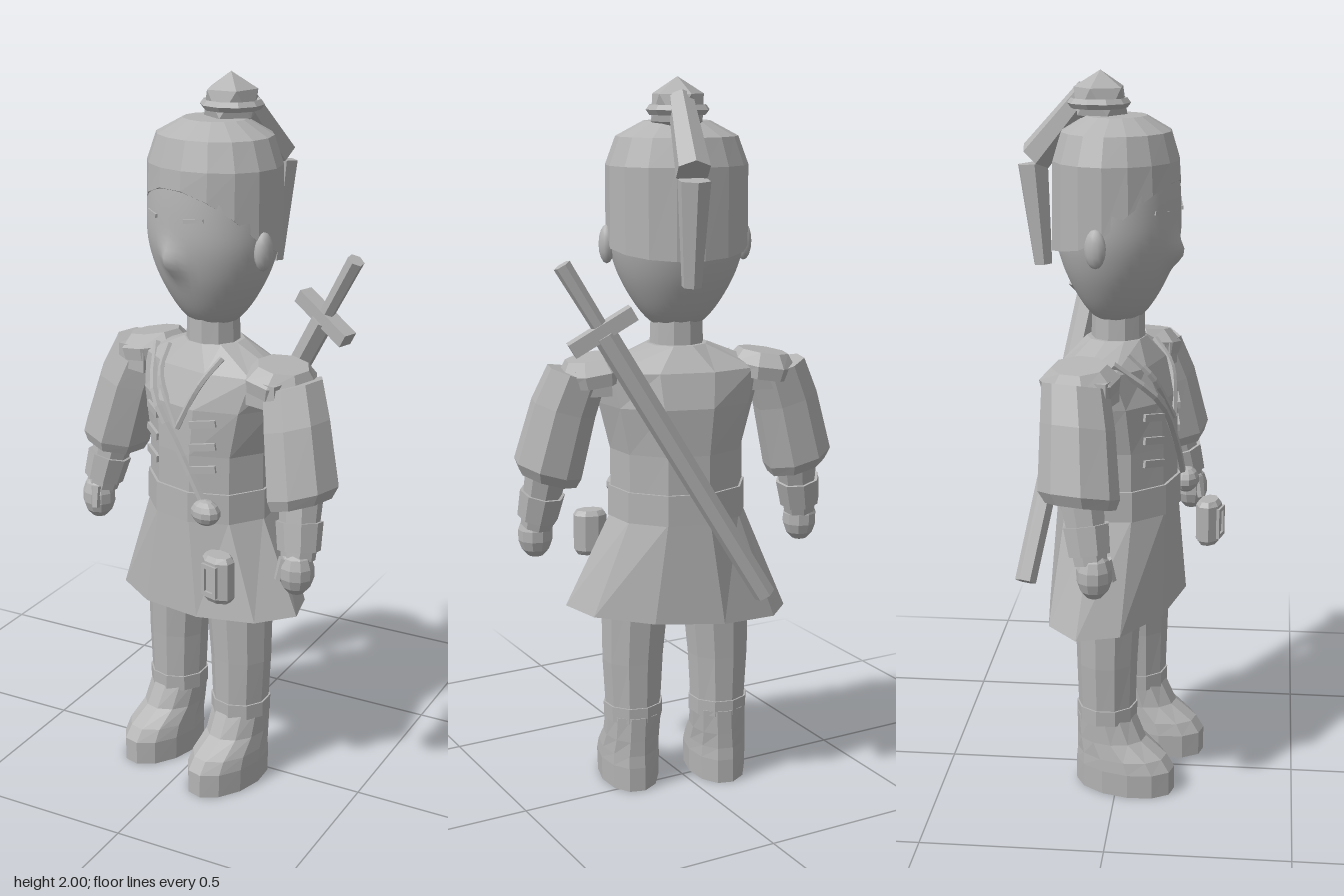
import * as THREE from 'three';

const V = (x, y, z) => new THREE.Vector3(x, y, z);

export function createModel() {
  const model = new THREE.Group();
  model.name = 'warrior';
  const grey = new THREE.MeshStandardMaterial({ color: 0xb4b4b4 });
  grey.name = 'plain grey';

  // The figure stands turned slightly to its right
  const body = new THREE.Group();
  body.name = 'body';
  body.position.set(0.025, 0, -0.01);
  body.rotation.y = -0.28;
  model.add(body);

  const flat = (geo) => {
    const g = geo.index ? geo.toNonIndexed() : geo;
    g.computeVertexNormals();
    return g;
  };
  const add = (name, geo, parent = body) => {
    const mesh = new THREE.Mesh(geo, grey);
    mesh.name = name;
    parent.add(mesh);
    return mesh;
  };

  // Closed faceted skin over elliptical rings [x, y, z, halfWidth, halfDepth], bottom to top
  const loft = (rings, segs, bend) => {
    const pts = rings.map(([x, y, z, a, d]) => Array.from({ length: segs }, (_, k) => {
      const t = ((k + 0.5) / segs) * Math.PI * 2;
      const p = V(x + a * Math.sin(t), y, z + d * Math.cos(t));
      if (bend) bend(p);
      return p;
    }));
    const tris = [];
    const centre = (ring) => ring.reduce((s, p) => s.add(p), V(0, 0, 0)).divideScalar(segs);
    const low = centre(pts[0]), high = centre(pts[pts.length - 1]);
    for (let k = 0; k < segs; k++) {
      const n = (k + 1) % segs;
      for (let i = 0; i < pts.length - 1; i++) {
        const [a, b, c, d] = [pts[i][k], pts[i][n], pts[i + 1][n], pts[i + 1][k]];
        tris.push(a, b, c, a, c, d);
      }
      tris.push(low, pts[0][n], pts[0][k]);
      tris.push(high, pts[pts.length - 1][k], pts[pts.length - 1][n]);
    }
    return flat(new THREE.BufferGeometry().setFromPoints(tris));
  };

  // Faceted bar from one point to another
  const bar = (from, to, r0, r1, segs) => {
    const dir = to.clone().sub(from);
    const g = new THREE.CylinderGeometry(r1, r0, dir.length(), segs);
    g.applyQuaternion(new THREE.Quaternion().setFromUnitVectors(V(0, 1, 0), dir.normalize()));
    g.translate((from.x + to.x) / 2, (from.y + to.y) / 2, (from.z + to.z) / 2);
    return flat(g);
  };
  const cord = (points, r) =>
    flat(new THREE.TubeGeometry(new THREE.CatmullRomCurve3(points), 10, r, 5));

  // Head: smooth egg with a nose
  const headCurve = new THREE.SplineCurve([[0.001, 1.325], [0.05, 1.335], [0.09, 1.365], [0.13, 1.42],
    [0.165, 1.49], [0.186, 1.57], [0.187, 1.66], [0.18, 1.75]].map((p) => new THREE.Vector2(...p)));
  const headGeo = new THREE.LatheGeometry(headCurve.getPoints(30), 40, Math.PI);
  headGeo.scale(1, 1, 0.89);
  const hp = headGeo.attributes.position;
  for (let i = 0; i < hp.count; i++) {
    const x = hp.getX(i), y = hp.getY(i), z = hp.getZ(i);
    if (z > 0.05) hp.setZ(i, z + 0.03 * Math.exp(-((x / 0.028) ** 2) - ((y - 1.53) / 0.04) ** 2));
  }
  headGeo.computeVertexNormals();
  add('head', headGeo);
  add('neck', loft([[0, 1.22, 0, 0.078, 0.075], [0, 1.37, 0, 0.072, 0.072]], 10));

  // Hair cap with a rim that rises to the brow
  add('hairCap', loft([
    [0, 1.6, -0.005, 0.193, 0.172], [0, 1.77, -0.005, 0.193, 0.168], [0, 1.845, -0.005, 0.165, 0.146],
    [0, 1.885, -0.005, 0.09, 0.08]], 16, (p) => {
    if (p.y < 1.7) {
      const t = p.z / 0.165;
      p.y = 1.56 + t * (t > 0 ? 0.16 : 0.03);
    }
  }));

  // Topknot and hanging tail
  const bun = new THREE.IcosahedronGeometry(0.08, 0);
  bun.rotateZ(0.5536);
  add('topknot', flat(bun)).position.set(0.01, 1.92, -0.055);
  const tie = new THREE.TorusGeometry(0.072, 0.014, 5, 10);
  tie.rotateX(Math.PI / 2);
  add('hairTie', flat(tie)).position.set(0.01, 1.915, -0.06);
  add('hairTailUpper', bar(V(0.01, 1.945, -0.09), V(0.012, 1.765, -0.245), 0.035, 0.048, 6));
  add('hairTailLower', bar(V(0.012, 1.745, -0.255), V(0.012, 1.47, -0.228), 0.045, 0.027, 6));

  for (const s of [-1, 1]) {
    const side = s > 0 ? 'left' : 'right';

    // Face details
    const ear = new THREE.SphereGeometry(1, 12, 8);
    ear.scale(0.022, 0.052, 0.03);
    add(side + 'Ear', ear).position.set(s * 0.19, 1.56, 0.01);
    const eye = add(side + 'Eye', new THREE.BoxGeometry(0.055, 0.01, 0.006));
    eye.position.set(s * 0.075, 1.645, 0.153);
    eye.rotation.set(0, s * 0.4, s * 0.1);

    // Shoulder guard, leaning outward
    const pad = add(side + 'ShoulderGuard', loft([
      [0, -0.035, 0, 0.085, 0.105], [0, 0, 0, 0.095, 0.11], [0, 0.035, 0, 0.07, 0.075]], 8));
    pad.position.set(s * 0.238, 1.225, -0.015);
    pad.rotation.z = -s * 0.15;
    const flap = add(side + 'ShoulderFlap', new THREE.BoxGeometry(0.1, 0.07, 0.16));
    flap.position.set(s * 0.245, 1.195, 0);

    // Sleeve, cuff and hand
    add(side + 'Sleeve', loft([
      [s * 0.358, 0.905, 0.035, 0.08, 0.095], [s * 0.358, 0.935, 0.03, 0.094, 0.11],
      [s * 0.315, 1.12, 0.01, 0.088, 0.1], [s * 0.28, 1.23, -0.01, 0.08, 0.09]], 8, (p) => {
      p.y += s * (p.x - s * 0.33) * 0.3;
    }));
    add(side + 'Forearm', bar(V(s * 0.385, 0.77, 0.075), V(s * 0.36, 0.93, 0.04), 0.046, 0.06, 8));
    add(side + 'Bracer', bar(V(s * 0.383, 0.795, 0.07), V(s * 0.37, 0.87, 0.055), 0.058, 0.064, 8));
    const hand = new THREE.SphereGeometry(1, 10, 7);
    hand.scale(0.05, 0.068, 0.048);
    add(side + 'Hand', flat(hand)).position.set(s * 0.388, 0.742, 0.085);
    add(side + 'Thumb', bar(V(s * 0.36, 0.72, 0.125), V(s * 0.37, 0.78, 0.11), 0.012, 0.018, 6));

    // Trouser leg, boot and boot cuff
    add(side + 'Leg', loft([
      [s * 0.125, 0.2, 0.015, 0.078, 0.08], [s * 0.125, 0.38, 0.015, 0.088, 0.085],
      [s * 0.115, 0.6, 0.015, 0.1, 0.095]], 10));
    add(side + 'BootCuff', loft([
      [s * 0.125, 0.205, 0.015, 0.085, 0.085], [s * 0.125, 0.25, 0.015, 0.086, 0.086]], 10));
    add(side + 'Boot', loft([
      [s * 0.13, 0, 0.072, 0.086, 0.146], [s * 0.13, 0.07, 0.072, 0.088, 0.146],
      [s * 0.13, 0.105, 0.062, 0.085, 0.132], [s * 0.128, 0.15, 0.03, 0.08, 0.1],
      [s * 0.125, 0.22, 0.012, 0.08, 0.084]], 12));

    // Collar edge and chest fastenings
    add(side + 'Collar', cord([V(s * 0.1, 1.265, 0.07), V(s * 0.075, 1.2, 0.128), V(0.015, 1.07, 0.158)], 0.009));
    for (const y of [0.965, 1.03, 1.095]) {
      const frog = add(side + 'Fastening', new THREE.BoxGeometry(0.075, 0.02, 0.009));
      frog.position.set(s * 0.095, y, 0.141);
      frog.rotation.set(0, s * 0.42, s * 0.15);
    }
  }

  // Tunic, belt and flared skirt
  add('tunic', loft([
    [0, 0.82, 0, 0.188, 0.165], [0, 1, 0, 0.188, 0.163], [0, 1.13, -0.005, 0.22, 0.163],
    [0, 1.225, -0.012, 0.245, 0.13], [0, 1.29, -0.005, 0.085, 0.082]], 10));
  add('belt', loft([[0, 0.81, 0, 0.196, 0.174], [0, 0.895, 0, 0.194, 0.172]], 10));
  add('skirt', loft([[0, 0.53, 0, 0.318, 0.18], [0, 0.815, 0, 0.19, 0.168]], 10, (p) => {
    if (p.y < 0.6) p.y += 0.07 * p.x;
  }));

  // Chest strap with round buckle
  add('chestStrap', cord([V(-0.17, 1.25, 0.05), V(-0.08, 1.14, 0.148), V(0.03, 1.0, 0.158), V(0.12, 0.86, 0.152)], 0.011));
  const buckle = new THREE.SphereGeometry(1, 10, 7);
  buckle.scale(0.046, 0.036, 0.035);
  add('buckle', flat(buckle)).position.set(0.125, 0.855, 0.16);

  // Hanging pouch with a raised frame
  const pouch = new THREE.Group();
  pouch.name = 'pouch';
  pouch.position.set(0.212, 0.705, 0.2);
  body.add(pouch);
  add('pouchBody', loft([
    [0, -0.066, 0, 0.04, 0.026], [0, -0.052, 0, 0.05, 0.036],
    [0, 0.052, 0, 0.05, 0.036], [0, 0.066, 0, 0.04, 0.026]], 8), pouch);
  const frame = new THREE.Shape([[-0.026, -0.045], [0.026, -0.045], [0.026, 0.045], [-0.026, 0.045]]
    .map((p) => new THREE.Vector2(...p)));
  frame.holes.push(new THREE.Path([[-0.015, -0.033], [-0.015, 0.033], [0.015, 0.033], [0.015, -0.033]]
    .map((p) => new THREE.Vector2(...p))));
  add('pouchFrame', new THREE.ExtrudeGeometry(frame, { depth: 0.009, bevelEnabled: false }), pouch)
    .position.z = 0.031;

  // Sheathed sword slung across the back
  const sword = new THREE.Group();
  sword.name = 'sword';
  model.add(sword);
  const tip = V(-0.115, 0.61, -0.258), top = V(0.405, 1.53, -0.09);
  const along = (t) => tip.clone().lerp(top, t);
  add('scabbard', bar(along(0), along(0.8), 0.03, 0.033, 6), sword);
  add('handle', bar(along(0.8), along(1), 0.021, 0.024, 6), sword);
  const up = top.clone().sub(tip).normalize();
  const across = V(0.16, -0.12, 0.05).addScaledVector(up, 0.02).normalize();
  const guard = add('guard', new THREE.BoxGeometry(0.19, 0.04, 0.045), sword);
  guard.position.copy(along(0.81));
  guard.quaternion.setFromRotationMatrix(
    new THREE.Matrix4().makeBasis(across, up, across.clone().cross(up).normalize()));

  return model;
}
